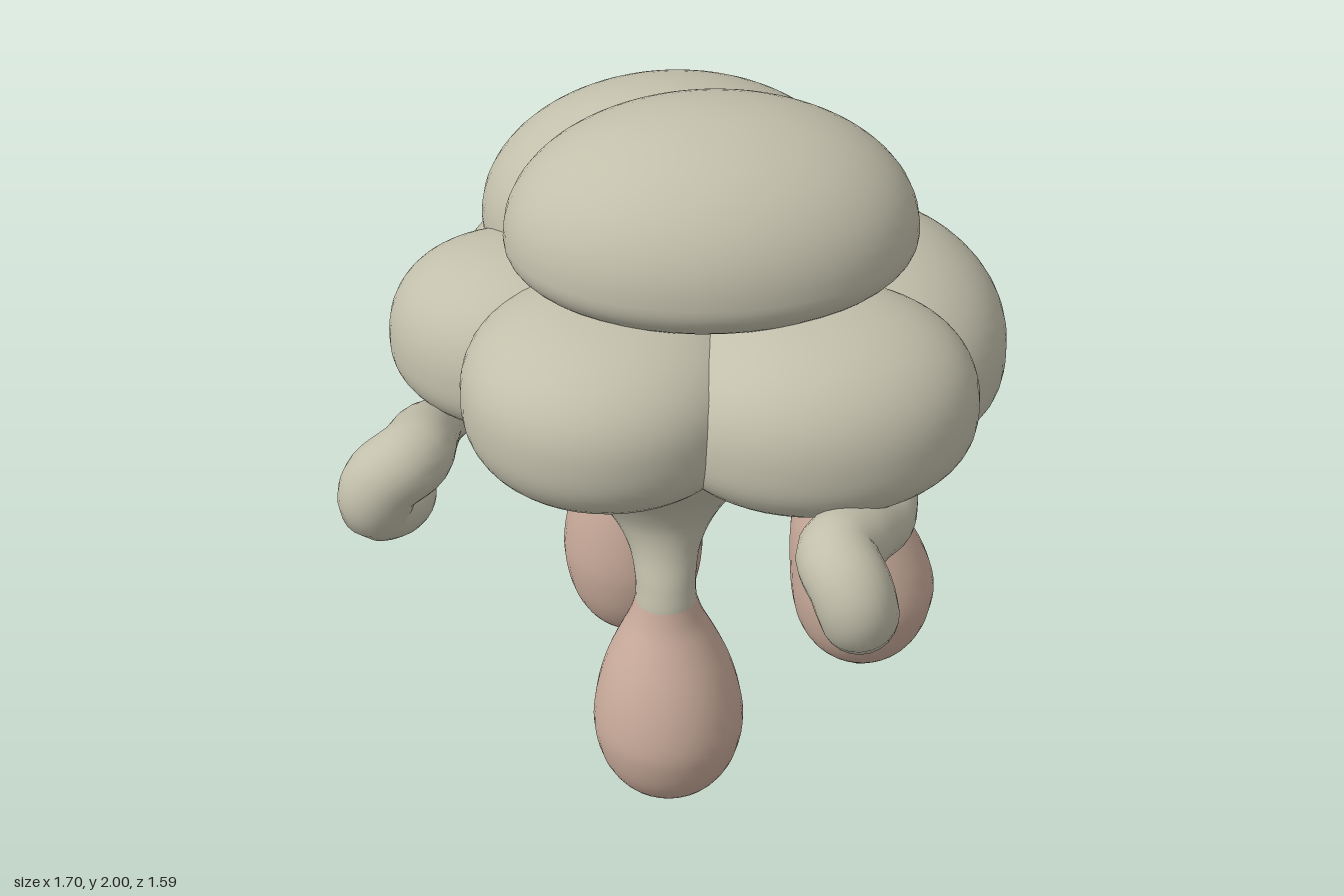
import * as THREE from 'three';
import { mergeVertices } from 'three/addons/utils/BufferGeometryUtils.js';

const skin = new THREE.MeshStandardMaterial({ color: 0xc2bfab });
skin.name = 'pale grey green';
const pink = new THREE.MeshStandardMaterial({ color: 0xc8aa9a });
pink.name = 'dusty pink';

function add(group, name, geometry, material) {
  const mesh = new THREE.Mesh(geometry, material);
  mesh.name = name;
  group.add(mesh);
}

// Welds seams and gives smooth normals
function smooth(geometry) {
  geometry.deleteAttribute('uv');
  geometry.deleteAttribute('normal');
  const merged = mergeVertices(geometry, 1e-5);
  merged.computeVertexNormals();
  return merged;
}

// Puffy lobe: elliptical from above, with its own height and squareness above and below;
// lift raises the underside towards the middle of the body
function lobe([cx, cy, cz], [rx, rz], [up, down], yaw = 0, [squareUp, squareDown] = [2, 2.6], lift = 0) {
  const g = new THREE.SphereGeometry(1, 48, 36);
  const p = g.attributes.position;
  const inward = new THREE.Vector2(-cx, -cz).normalize();
  g.rotateY(yaw);
  for (let i = 0; i < p.count; i++) {
    const x = p.getX(i), y = p.getY(i), z = p.getZ(i);
    const n = y > 0 ? squareUp : squareDown;
    const k = (Math.hypot(x, z) ** n + Math.abs(y) ** n) ** (-1 / n);
    const raise = lift * Math.max(0, 0.5 + k * (x * inward.x + z * inward.y));
    p.setXYZ(i, x * k, y * k * (y > 0 ? up : down * (1 - raise)), z * k);
  }
  g.rotateY(-yaw).scale(rx, 1, rz).rotateY(yaw).translate(cx, cy, cz);
  return smooth(g);
}

// Round pod from [radius, height fraction] pairs, its upper part shifted by dx, dz
function pod(pairs, [x, y, z], height, dx, dz, flatTip) {
  const curve = new THREE.SplineCurve(pairs.map(([r, h]) => new THREE.Vector2(r, h * height)));
  const profile = curve.getPoints(32);
  if (flatTip) profile.unshift(new THREE.Vector2(0, 0), new THREE.Vector2(0.054, 0));
  const g = new THREE.LatheGeometry(profile, 32);
  const p = g.attributes.position;
  for (let i = 0; i < p.count; i++) {
    const s = THREE.MathUtils.smoothstep(p.getY(i) / height, flatTip ? 0.35 : 0, 1);
    p.setX(i, p.getX(i) + dx * s);
    p.setZ(i, p.getZ(i) + dz * s);
  }
  return smooth(g.translate(x, y, z));
}

// Value of a list of numbers at t in 0..1
function blend(list, t) {
  const f = Math.min(t, 0.9999) * (list.length - 1);
  const i = Math.floor(f);
  return THREE.MathUtils.lerp(list[i], list[i + 1], f - i);
}

// Tapered tube whose thickness follows a list of radii, rounded off at its end
function taper(points, radii) {
  const curve = new THREE.CatmullRomCurve3(points.map(p => new THREE.Vector3(...p)));
  const steps = 56, sides = 24;
  const g = new THREE.TubeGeometry(curve, steps, 1, sides);
  const p = g.attributes.position;
  const v = new THREE.Vector3();
  for (let i = 0; i < p.count; i++) {
    const t = Math.floor(i / (sides + 1)) / steps;
    const c = curve.getPointAt(t);
    const cap = Math.max(0, (t - 0.86) / 0.14);
    const r = blend(radii, t) * Math.sqrt(1 - Math.min(1, cap * cap));
    v.fromBufferAttribute(p, i).sub(c).multiplyScalar(r).add(c);
    p.setXYZ(i, v.x, v.y, v.z);
  }
  return smooth(g);
}

export function createModel() {
  const model = new THREE.Group();
  model.name = 'lobedCreature';

  // Body lobes: centre, [x, z radii], [height above, below], yaw, [squareness above, below], lift
  const body = new THREE.Group();
  body.name = 'body';
  model.add(body);
  const lobes = {
    topFrontLobe: [[0.06, 1.65, 0.055], [0.56, 0.43], [0.35, 0.17], 0.44, [2.08, 2.4]],
    topBackLobe: [[-0.19, 1.48, -0.3], [0.545, 0.41], [0.38, 0.22], 0.44],
    frontLobe: [[-0.105, 1.3, 0.39], [0.4, 0.4], [0.27, 0.25], 0, [2.3, 2.6]],
    leftFrontLobe: [[0.425, 1.27, 0.215], [0.435, 0.37], [0.3, 0.22], 0.5, [2.3, 2.6]],
    rightFrontLobe: [[-0.45, 1.24, 0.15], [0.4, 0.335], [0.29, 0.19], 0, [2.3, 2.5]],
    leftBackLobe: [[0.33, 1.17, -0.33], [0.5, 0.44], [0.34, 0.24], -0.785, [2.1, 3], 0.5],
    rightBackLobe: [[-0.39, 1.16, -0.31], [0.47, 0.43], [0.32, 0.23], 0.785, [2.1, 2.8], 0.5],
    core: [[0, 1.27, 0], [0.6, 0.5], [0.35, 0.21]],
  };
  for (const [name, args] of Object.entries(lobes)) add(body, name, lobe(...args), skin);

  // Three legs: a stalk flaring up into the body with a pear-shaped bag below it
  const bagShape = [[0.058, 0.015], [0.066, 0.045], [0.11, 0.07], [0.155, 0.13], [0.19, 0.22], [0.209, 0.33],
    [0.213, 0.43], [0.2, 0.56], [0.174, 0.69], [0.138, 0.81], [0.105, 0.91], [0.086, 1]];
  const stalkShape = [[0.086, 0], [0.084, 0.12], [0.1, 0.3], [0.15, 0.47], [0.235, 0.64], [0.34, 0.82], [0.43, 1]];
  const legs = [
    { name: 'frontLeg', tip: [0.08, 0, 0.445], h: 0.67, dx: -0.015, dz: -0.025, lean: [-0.1, -0.22] },
    { name: 'rightLeg', tip: [-0.3, 0, -0.225], h: 0.8, dx: 0.01, dz: 0, lean: [-0.02, 0.02] },
    { name: 'leftLeg', tip: [0.44, 0.09, -0.225], h: 0.69, dx: -0.09, dz: 0, lean: [-0.04, 0.02] },
  ];
  for (const { name, tip, h, dx, dz, lean } of legs) {
    const leg = new THREE.Group();
    leg.name = name;
    model.add(leg);
    add(leg, 'bag', pod(bagShape, tip, h, dx, dz, true), pink);
    const neck = [tip[0] + dx, tip[1] + h, tip[2] + dz];
    add(leg, 'stalk', pod(stalkShape, neck, 1.17 - neck[1], ...lean, false), skin);
  }

  // Pair of short curled arms
  const path = [[0.54, 1.08, 0.02], [0.63, 1, 0.15], [0.66, 1.01, 0.31], [0.635, 1.06, 0.46], [0.61, 1.08, 0.59],
    [0.67, 1.03, 0.65], [0.695, 0.945, 0.645], [0.66, 0.92, 0.57], [0.62, 0.945, 0.47]];
  const radii = [0.055, 0.06, 0.066, 0.08, 0.097, 0.108, 0.108, 0.1, 0.085];
  for (const side of [1, -1]) {
    const points = path.map(([x, y, z]) => [x * side, y, z]);
    add(model, side > 0 ? 'leftArm' : 'rightArm', taper(points, radii), skin);
  }
  return model;
}
